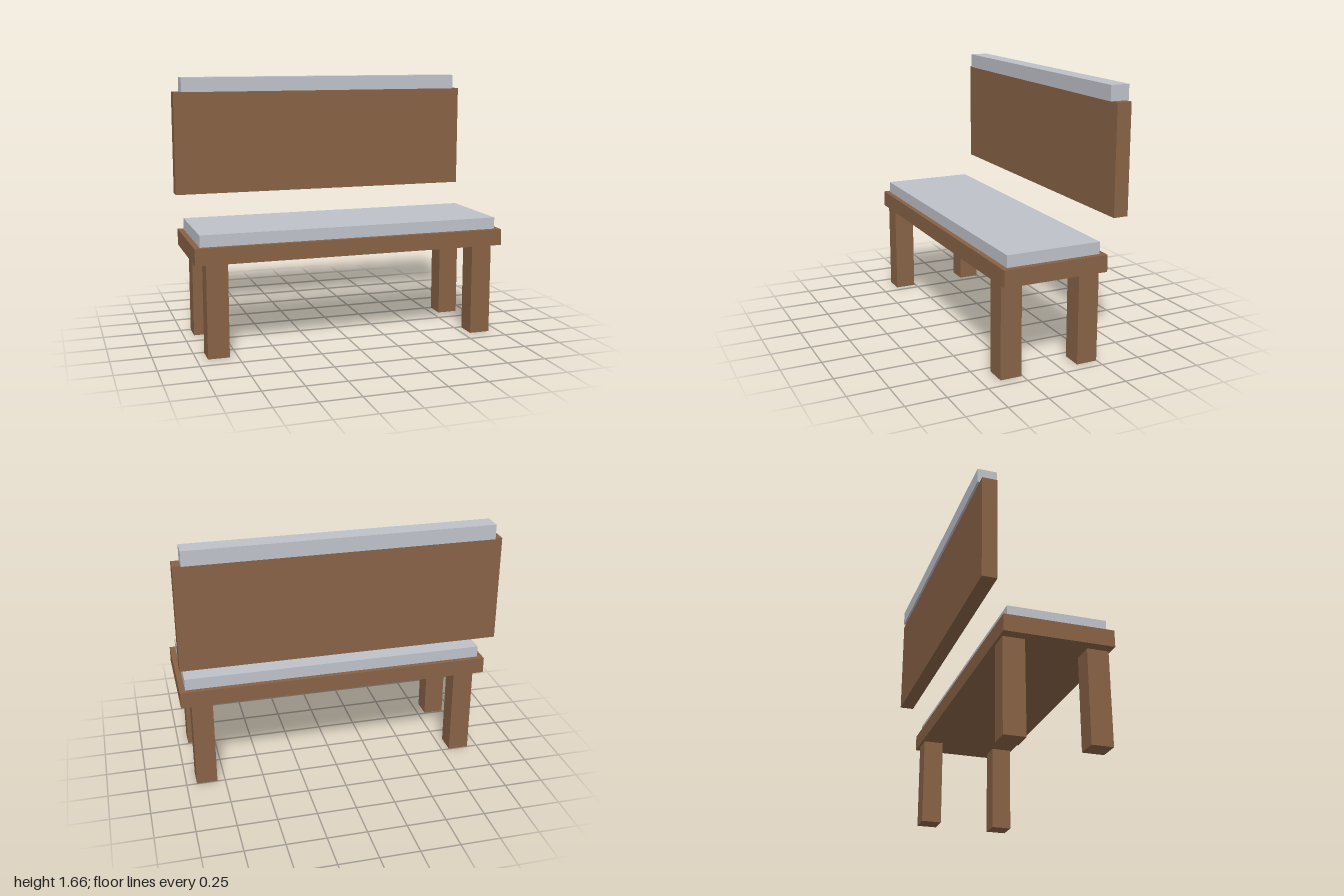
import * as THREE from 'three';

export function createModel() {
  const bench = new THREE.Group();
  bench.name = 'bench';

  const wood = new THREE.MeshStandardMaterial({ color: 0x876245 });
  wood.name = 'brown wood';
  const padding = new THREE.MeshStandardMaterial({ color: 0xbec1c9 });
  padding.name = 'pale grey padding';

  // Box given by its size, its bottom height and its centre in x and z
  function addBox(name, material, [w, h, d], x, bottom, z) {
    const mesh = new THREE.Mesh(new THREE.BoxGeometry(w, h, d), material);
    mesh.name = name;
    mesh.position.set(x, bottom + h / 2, z);
    bench.add(mesh);
  }

  // Four square legs
  for (const [side, x] of [['Left', 0.867], ['Right', -0.867]]) {
    addBox(`front${side}Leg`, wood, [0.133, 0.58, 0.133], x, 0, 0.325);
    addBox(`back${side}Leg`, wood, [0.133, 0.58, 0.133], x, 0, -0.181);
  }

  // Seat slab with its cushion
  addBox('seat', wood, [2, 0.104, 0.666], 0, 0.58, 0.07);
  addBox('seatCushion', padding, [1.93, 0.074, 0.6], 0, 0.684, 0.07);

  // Floating backrest board with a padded top rail
  addBox('backrest', wood, [2, 0.667, 0.093], 0, 0.9, -0.343);
  addBox('backrestTopPad', padding, [1.9, 0.093, 0.12], 0, 1.567, -0.343);

  return bench;
}
